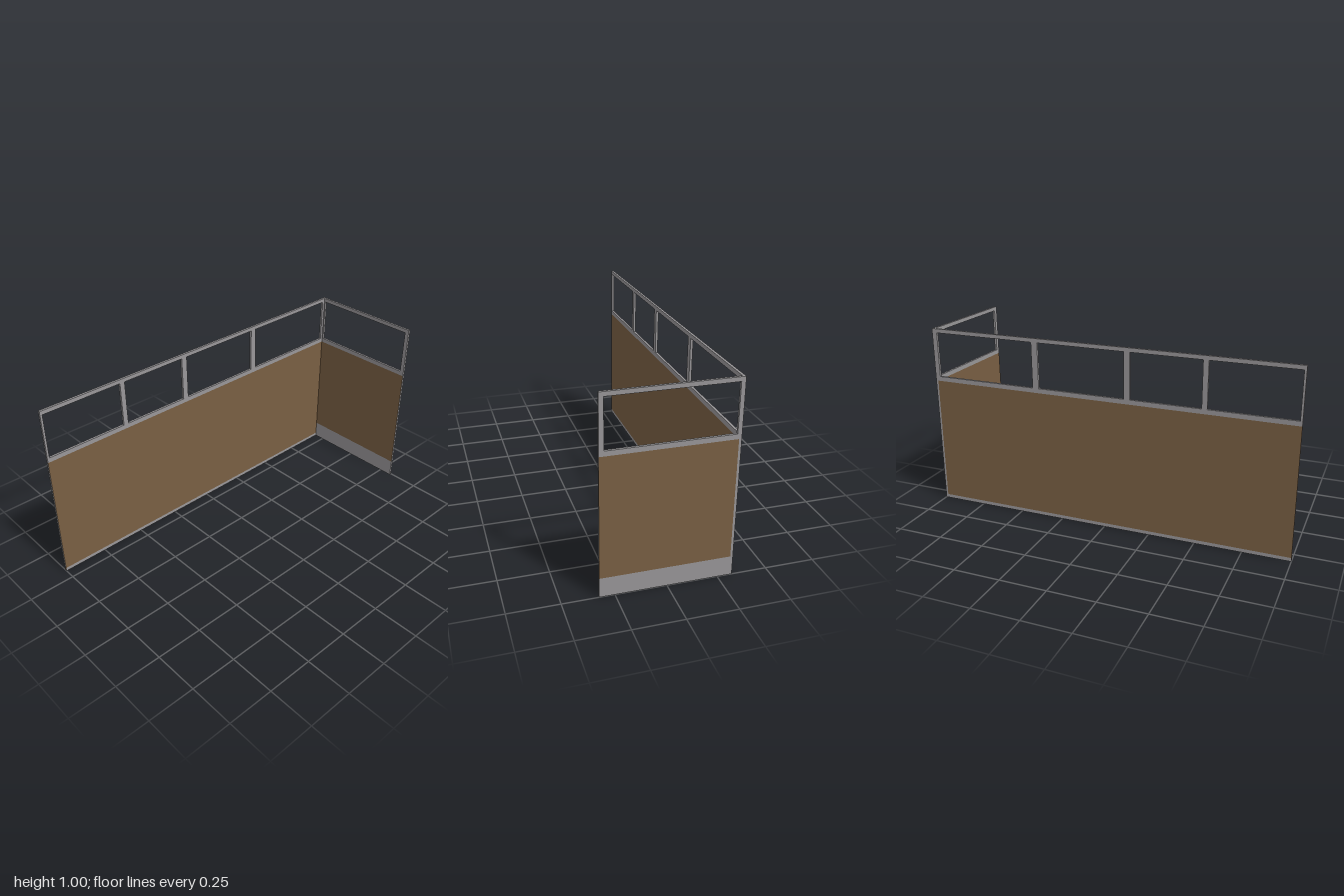
import * as THREE from 'three';

export function createModel() {
  const model = new THREE.Group();
  model.name = 'cornerPartition';
  const metal = new THREE.MeshStandardMaterial({ color: 0x989698 });
  metal.name = 'grey metal';
  const wood = new THREE.MeshStandardMaterial({ color: 0x795f43 });
  wood.name = 'brown wood';

  // Box given by its minimum and maximum on each axis
  function box(parent, name, [x0, x1], [y0, y1], [z0, z1], material = metal) {
    const geometry = new THREE.BoxGeometry(x1 - x0, y1 - y0, z1 - z0);
    const mesh = new THREE.Mesh(geometry, material);
    mesh.position.set((x0 + x1) / 2, (y0 + y1) / 2, (z0 + z1) / 2);
    mesh.name = name;
    parent.add(mesh);
  }

  const sill = [0.708, 0.733], head = [0.978, 1], opening = [0.733, 0.978];
  const sideX = [-0.324, -0.311], backZ = [-1, -0.987];

  // Long side wall: wooden panel with grey end edge, rails and window posts
  const side = new THREE.Group();
  side.name = 'sideWall';
  const sideZ = [-0.987, 1];
  box(side, 'sidePanel', sideX, [0.02, 0.708], sideZ, [wood, wood, metal, metal, metal, metal]);
  box(side, 'sideBottomRail', sideX, [0, 0.02], sideZ, [metal, metal, metal, metal, wood, metal]);
  box(side, 'sideSill', sideX, sill, sideZ);
  box(side, 'sideTopRail', sideX, head, sideZ);
  for (const z of [[0.988, 1], [0.517, 0.545], [0.112, 0.145], [-0.4, -0.365], [-0.987, -0.972]])
    box(side, 'sideWindowPost', sideX, opening, z);

  // Short back wall: grey base, wooden panel and one wide window
  const back = new THREE.Group();
  back.name = 'backWall';
  const backX = [-0.311, 0.324];
  box(back, 'backBase', backX, [0, 0.1], backZ);
  box(back, 'backPanel', backX, [0.1, 0.708], backZ, [metal, metal, metal, metal, wood, wood]);
  box(back, 'backSill', backX, sill, backZ);
  box(back, 'backTopRail', backX, head, backZ);
  for (const x of [[-0.311, -0.303], [0.301, 0.324]])
    box(back, 'backWindowPost', x, opening, backZ);

  // Post joining the two walls
  box(model, 'cornerPost', sideX, [0, 1], backZ);

  model.add(side, back);
  return model;
}
